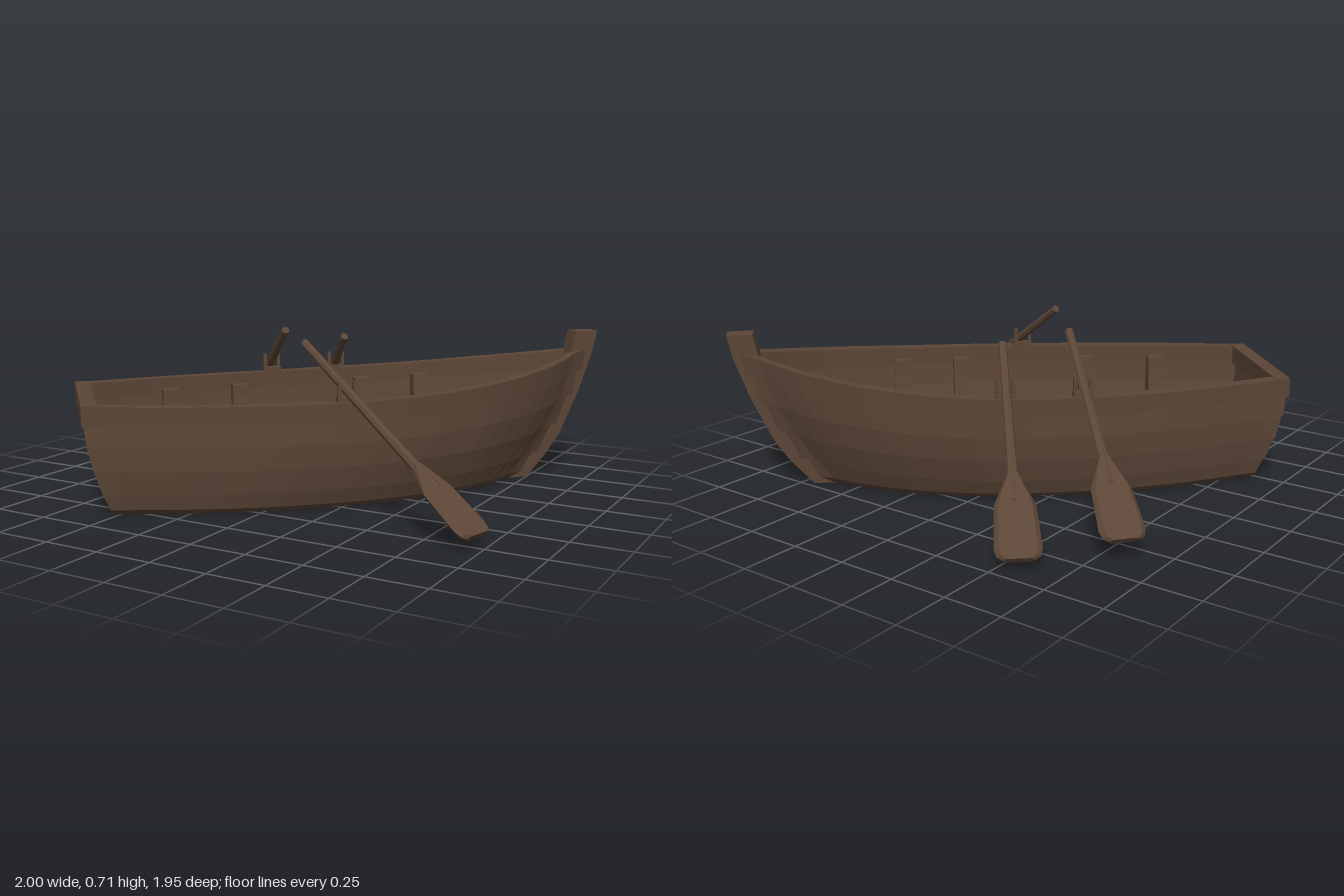
import * as THREE from 'three';

const wood = new THREE.MeshStandardMaterial({ color: 0x5c4637, flatShading: true, side: THREE.DoubleSide });
wood.name = 'dark brown wood';

const V = (x, y, z) => new THREE.Vector3(x, y, z);

// Skin a list of cross-sections; solid ones are closed round and capped
function loft(name, rings, solid = true) {
  const pos = [];
  const tri = (...pts) => pts.forEach((p) => pos.push(p.x, p.y, p.z));
  const n = rings[0].length;
  for (let i = 0; i < rings.length - 1; i++) {
    for (let j = 0; j < (solid ? n : n - 1); j++) {
      const k = (j + 1) % n;
      const [a, b, c, d] = [rings[i][j], rings[i][k], rings[i + 1][k], rings[i + 1][j]];
      tri(a, b, c);
      tri(a, c, d);
    }
  }
  const cap = (ring, flip) => {
    const mid = ring.reduce((m, p) => m.add(p), V(0, 0, 0)).divideScalar(n);
    ring.forEach((p, j) => (flip ? tri(mid, ring[(j + 1) % n], p) : tri(mid, p, ring[(j + 1) % n])));
  };
  if (solid) {
    cap(rings[0], true);
    cap(rings[rings.length - 1], false);
  }
  const geo = new THREE.BufferGeometry();
  geo.setAttribute('position', new THREE.Float32BufferAttribute(pos, 3));
  geo.computeVertexNormals();
  const mesh = new THREE.Mesh(geo, wood);
  mesh.name = name;
  return mesh;
}

const range = (n, a, b) => Array.from({ length: n + 1 }, (_, i) => a + ((b - a) * i) / n);

// Hull lines sampled evenly from stern (0) to bow (1)
function line(values) {
  const curve = new THREE.SplineCurve(values.map((v, i) => new THREE.Vector2(i, v)));
  return (u) => curve.getPoint(u).y;
}
const topWidth = line([0.315, 0.37, 0.42, 0.455, 0.475, 0.48, 0.463, 0.412, 0.333, 0.205, 0.03]);
const floorWidth = line([0.24, 0.28, 0.315, 0.338, 0.348, 0.345, 0.33, 0.29, 0.23, 0.14, 0.03]);
const sheer = line([0.478, 0.476, 0.475, 0.475, 0.476, 0.481, 0.489, 0.504, 0.527, 0.559, 0.6]);

const sternAt = (v) => -0.95 - 0.115 * (1 - (1 - v) ** 2);
const bowAt = (v) => 0.96 + 0.32 * (1 - (1 - v) ** 1.6);

// Point on the hull: u along, v up, off outward, side +1 or -1
function hullPoint(u, v, off, side) {
  const w = THREE.MathUtils.lerp(floorWidth(u), topWidth(u), 1 - (1 - v) ** 2.2);
  return V(THREE.MathUtils.lerp(sternAt(v), bowAt(v), u), v * sheer(u), side * Math.max(0.003, w + off));
}

// The same at a fixed distance x along the boat, for upright parts
const hullAt = (x, v, off, side) => hullPoint((x - sternAt(v)) / (bowAt(v) - sternAt(v)), v, off, side);

// Full section from one rail, under the keel, to the other rail
function section(u, rows) {
  const half = (side) => rows.map(([v, off]) => hullPoint(u, v, off, side));
  return [...half(-1).reverse(), ...half(1)];
}

function buildHull() {
  const hull = new THREE.Group();
  hull.name = 'hull';

  // Overlapping strakes: every lower edge stands proud of the plank beneath
  const levels = [0, 0.2, 0.42, 0.64, 0.84, 1];
  const outer = [[0, -0.01], [0.05, 0.006]];
  for (let k = 0; k < levels.length - 1; k++) {
    if (k) outer.push([levels[k], 0.01]);
    outer.push([levels[k + 1], -0.004]);
  }
  hull.add(loft('planking', range(28, 0, 1).map((u) => section(u, outer)), false));

  // Inside lining with a small step at each strake
  const inner = [[0.29, -0.022], [0.42, -0.022], [0.42, -0.03], [0.64, -0.028], [0.64, -0.036], [0.97, -0.036]];
  hull.add(loft('lining', range(28, 0.015, 0.985).map((u) => section(u, inner)), false));

  // Transom, outside and inside faces
  const across = (u, rows) => rows.map(([v, off]) => [hullPoint(u, v, off, -1), hullPoint(u, v, off, 1)]);
  hull.add(loft('transom', across(0, outer), false));
  hull.add(loft('transomLining', across(0.015, inner), false));

  // Floor boards laid across the boat
  const seams = [0.016, 0.1, 0.32, 0.54, 0.79, 0.88, 0.98];
  for (let i = 0; i < seams.length - 1; i++) {
    const lift = (i % 2) * 0.004;
    const rings = range(5, seams[i] + 0.001, seams[i + 1] - 0.001).map((u) => {
      const p = hullPoint(u, 0.33, -0.02, 1);
      const y = p.y + lift;
      return [[y, -1], [y, 1], [y - 0.02, 1], [y - 0.02, -1]].map(([h, s]) => V(p.x, h, s * p.z));
    });
    hull.add(loft('floorBoard', rings));
  }

  for (const side of [-1, 1]) {
    // Rail along the top edge
    const rail = range(28, 0, 1).map((u) => [
      hullPoint(u, 1, 0.012, side), hullPoint(u, 1, -0.048, side),
      hullPoint(u, 0.84, -0.045, side), hullPoint(u, 0.84, 0.012, side),
    ]);
    hull.add(loft('gunwale', rail));

    // Upright ribs against the inside wall
    for (const x of [-0.635, -0.3, 0.305, 0.585]) {
      const rib = range(5, 0.32, 0.9).map((v) => [
        hullAt(x - 0.037, v, -0.015, side), hullAt(x + 0.037, v, -0.015, side),
        hullAt(x + 0.037, v, -0.1, side), hullAt(x - 0.037, v, -0.1, side),
      ]);
      hull.add(loft('rib', rib));
    }
  }

  // Transom cap
  const cap = new THREE.Mesh(new THREE.BoxGeometry(0.065, 0.085, 0.65), wood);
  cap.name = 'transomCap';
  cap.position.set(-1.037, 0.438, 0);
  hull.add(cap);

  // Curved stem post
  const stem = [[0, 1.0], [0.1, 1.09], [0.2, 1.16], [0.4, 1.25], [0.58, 1.312], [0.685, 1.335]].map(([y, s]) => [
    V(s, y, -0.04), V(s, y, 0.04), V(s - 0.11, y, 0.045), V(s - 0.11, y, -0.045),
  ]);
  hull.add(loft('stemPost', stem));
  return hull;
}

// Oar from handle end to blade tip
function buildOar(handle, tip) {
  const oar = new THREE.Group();
  oar.name = 'oar';
  const dir = tip.clone().sub(handle);
  const length = dir.length();
  dir.normalize();
  const across = V(0, 1, 0).cross(dir).normalize();
  oar.applyMatrix4(new THREE.Matrix4().makeBasis(across, dir, across.clone().cross(dir)).setPosition(handle));

  const shaft = new THREE.Mesh(new THREE.CylinderGeometry(0.024, 0.018, length - 0.25, 8), wood);
  shaft.name = 'shaft';
  shaft.position.y = (length - 0.25) / 2;
  oar.add(shaft);

  // Rows: distance from tip, half width, half thickness
  const rows = [[0.38, 0.02, 0.02], [0.24, 0.08, 0.019], [0.05, 0.092, 0.017], [0.015, 0.082, 0.016], [0, 0.06, 0.014]];
  const blade = rows.map(([d, w, t]) => [
    V(-w, length - d, 0), V(-w * 0.8, length - d, t), V(w * 0.8, length - d, t),
    V(w, length - d, 0), V(w * 0.8, length - d, -t), V(-w * 0.8, length - d, -t),
  ]);
  oar.add(loft('blade', blade));
  return oar;
}

// Forked oarlock standing on the rail
function buildOarlock(x, z) {
  const lock = new THREE.Group();
  lock.name = 'oarlock';
  const block = (name, w, h, d, px, py) => {
    const m = new THREE.Mesh(new THREE.BoxGeometry(w, h, d), wood);
    m.name = name;
    m.position.set(px, py, 0);
    lock.add(m);
  };
  block('lockBase', 0.085, 0.022, 0.04, 0, 0.006);
  for (const s of [-1, 1]) block('lockProng', 0.015, 0.07, 0.02, s * 0.033, 0.045);
  lock.position.set(x, 0.48, z);
  return lock;
}

export function createModel() {
  const model = new THREE.Group();
  model.name = 'rowingBoat';

  // The boat lies diagonally, bow towards the back and its left
  const boat = new THREE.Group();
  boat.name = 'boat';
  boat.rotation.y = THREE.MathUtils.degToRad(43.8);
  boat.add(buildHull());
  for (const [x, z] of [[0, 0.455], [-0.13, -0.455], [0.19, -0.45]]) boat.add(buildOarlock(x, z));
  model.add(boat);

  model.add(buildOar(V(0.07, 0.7, 0.26), V(0.98, 0.055, 0.52)));
  model.add(buildOar(V(-0.23, 0.7, -0.08), V(-0.865, 0.09, -0.64)));
  model.add(buildOar(V(-0.04, 0.66, -0.3), V(-0.59, 0.045, -0.93)));
  return model;
}
